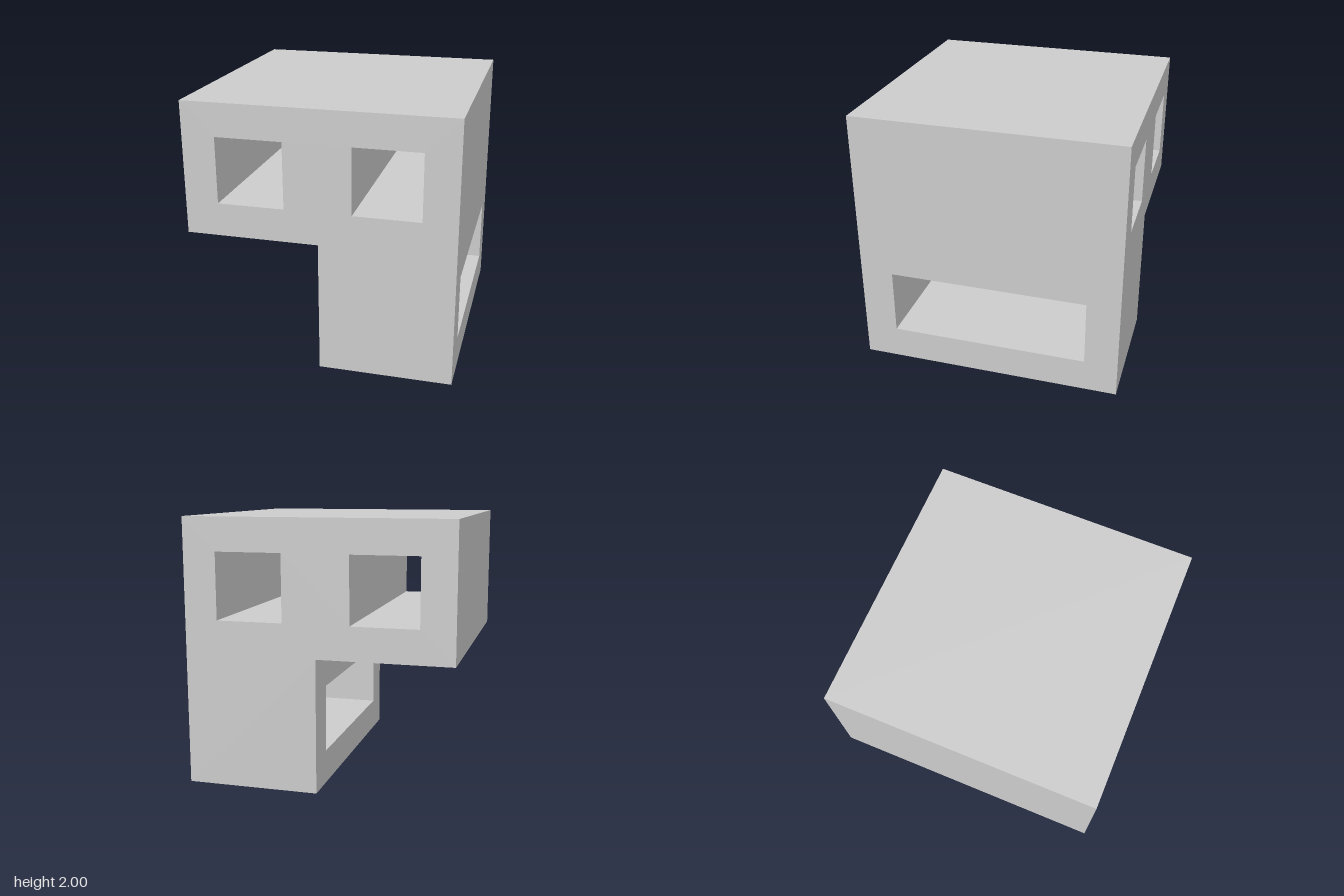
import * as THREE from 'three';

const material = new THREE.MeshStandardMaterial({ color: 0xcccccc });

const rectangle = (x0, y0, x1, y1) =>
  [[x0, y0], [x1, y0], [x1, y1], [x0, y1]].map(([x, y]) => new THREE.Vector2(x, y));

// Extrudes an outline with rectangular through-holes
function piercedBlock(outline, holes, depth) {
  const shape = new THREE.Shape(outline);
  for (const h of holes) shape.holes.push(new THREE.Path(rectangle(...h)));
  return new THREE.ExtrudeGeometry(shape, { depth, bevelEnabled: false });
}

// Drops the triangles on the hidden joint between the blocks (y = 1, x >= 0)
function openJoint(geometry) {
  const p = geometry.attributes.position;
  const onJoint = (i) => Math.abs(p.getY(i) - 1) < 1e-4 && p.getX(i) > -1e-4;
  const index = [];
  for (let i = 0; i < p.count; i += 3) {
    if (!(onJoint(i) && onJoint(i + 1) && onJoint(i + 2))) index.push(i, i + 1, i + 2);
  }
  geometry.setIndex(index);
  geometry.clearGroups();
  return geometry;
}

export function createModel() {
  const group = new THREE.Group();
  group.name = 'steppedBlock';

  const add = (name, geometry) => {
    const mesh = new THREE.Mesh(openJoint(geometry), material);
    mesh.name = name;
    group.add(mesh);
  };

  // Upper block: two square tunnels from front to back
  const upperOutline = rectangle(-1, 1, 1, 2);
  upperOutline.splice(1, 0, new THREE.Vector2(0, 1));
  const upper = piercedBlock(
    upperOutline, [-0.5, 0.5].map((x) => [x - 0.25, 1.25, x + 0.25, 1.75]), 2);
  upper.translate(0, 0, -1);
  add('upperBlock', upper);

  // Lower block: one wide tunnel from side to side
  const lower = piercedBlock(rectangle(-1, 0, 1, 1), [[-0.75, 0.25, 0.75, 0.75]], 1);
  lower.rotateY(Math.PI / 2);
  add('lowerBlock', lower);

  return group;
}
